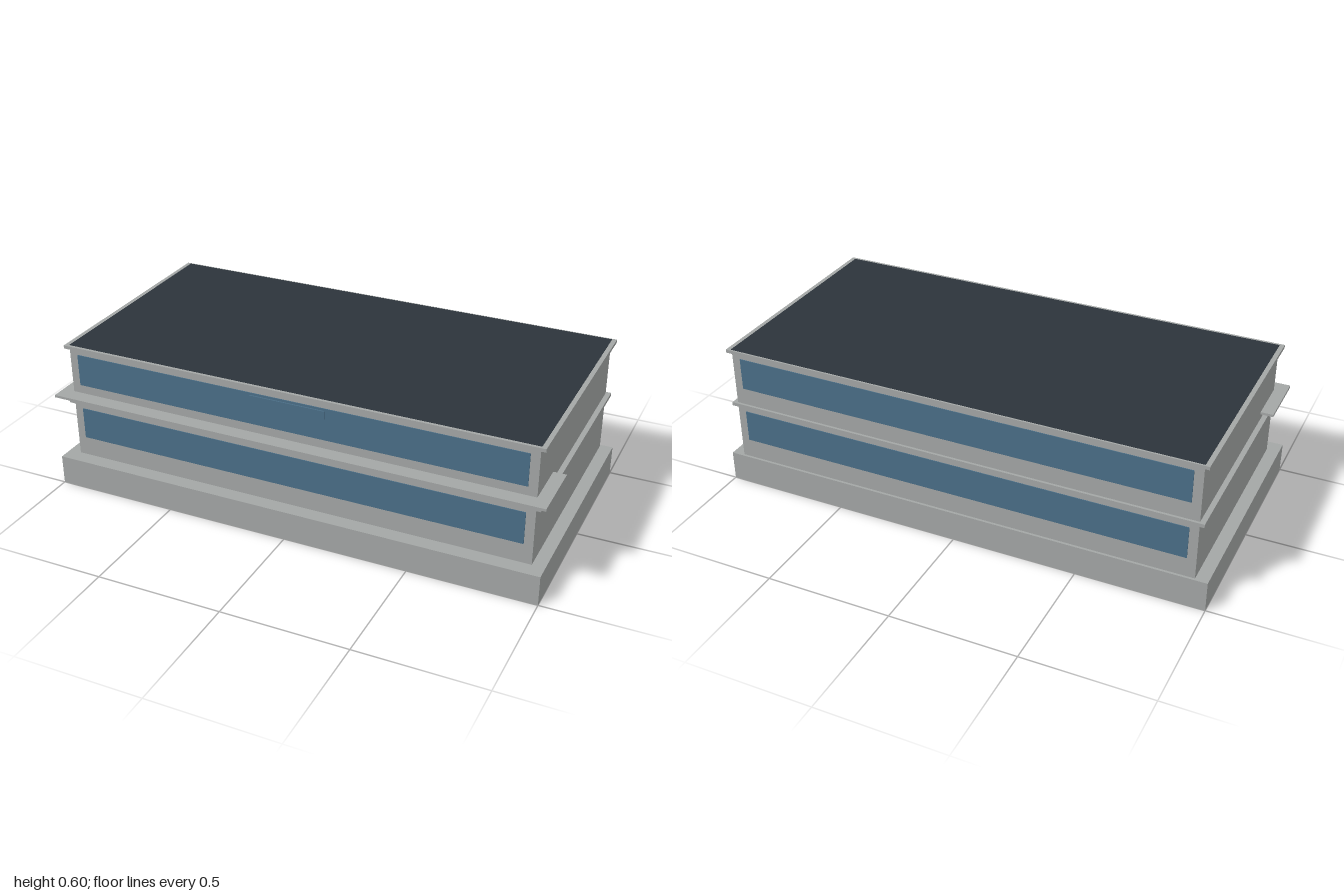
import * as THREE from 'three';

export function createModel() {
  const model = new THREE.Group();
  model.name = 'building';

  const mat = (name, color) => {
    const m = new THREE.MeshStandardMaterial({ color });
    m.name = name;
    return m;
  };
  const concrete = mat('concrete', 0xa3a6a5);
  const glass = mat('glass', 0x4a6e87);
  const roofing = mat('roofing', 0x2c343b);

  // Box given by its half width in x and its ranges in y and z
  const block = (name, material, halfX, y0, y1, z0, z1) => {
    const mesh = new THREE.Mesh(new THREE.BoxGeometry(halfX * 2, y1 - y0, z1 - z0), material);
    mesh.position.set(0, (y0 + y1) / 2, (z0 + z1) / 2);
    mesh.name = name;
    model.add(mesh);
  };

  // Plinth and main volume
  block('plinth', concrete, 1, 0, 0.12, -0.5, 0.5);
  block('walls', concrete, 0.95, 0.12, 0.584, -0.49, 0.44);

  // Overhanging floor and roof slabs
  block('floorSlab', concrete, 0.97, 0.35, 0.364, -0.5, 0.45);
  block('roofSlab', concrete, 0.97, 0.586, 0.599, -0.5, 0.45);

  // Dark roof covering, showing as a thin line under the slab as well
  block('roofCovering', roofing, 0.952, 0.583, 0.6, -0.493, 0.438);

  // Balcony slab wrapping the front
  block('balcony', concrete, 1, 0.389, 0.399, 0.25, 0.5);

  // Ribbon windows on both storeys, front and back
  for (const [storey, y] of [['lower', 0.2], ['upper', 0.435]]) {
    block(storey + 'FrontWindow', glass, 0.915, y, y + 0.13, 0.439, 0.443);
    block(storey + 'BackWindow', glass, 0.915, y, y + 0.13, -0.493, -0.489);
  }

  // Blank sign plate standing off the upper window
  block('signPlate', glass, 0.152, 0.53, 0.562, 0.453, 0.458);

  return model;
}
